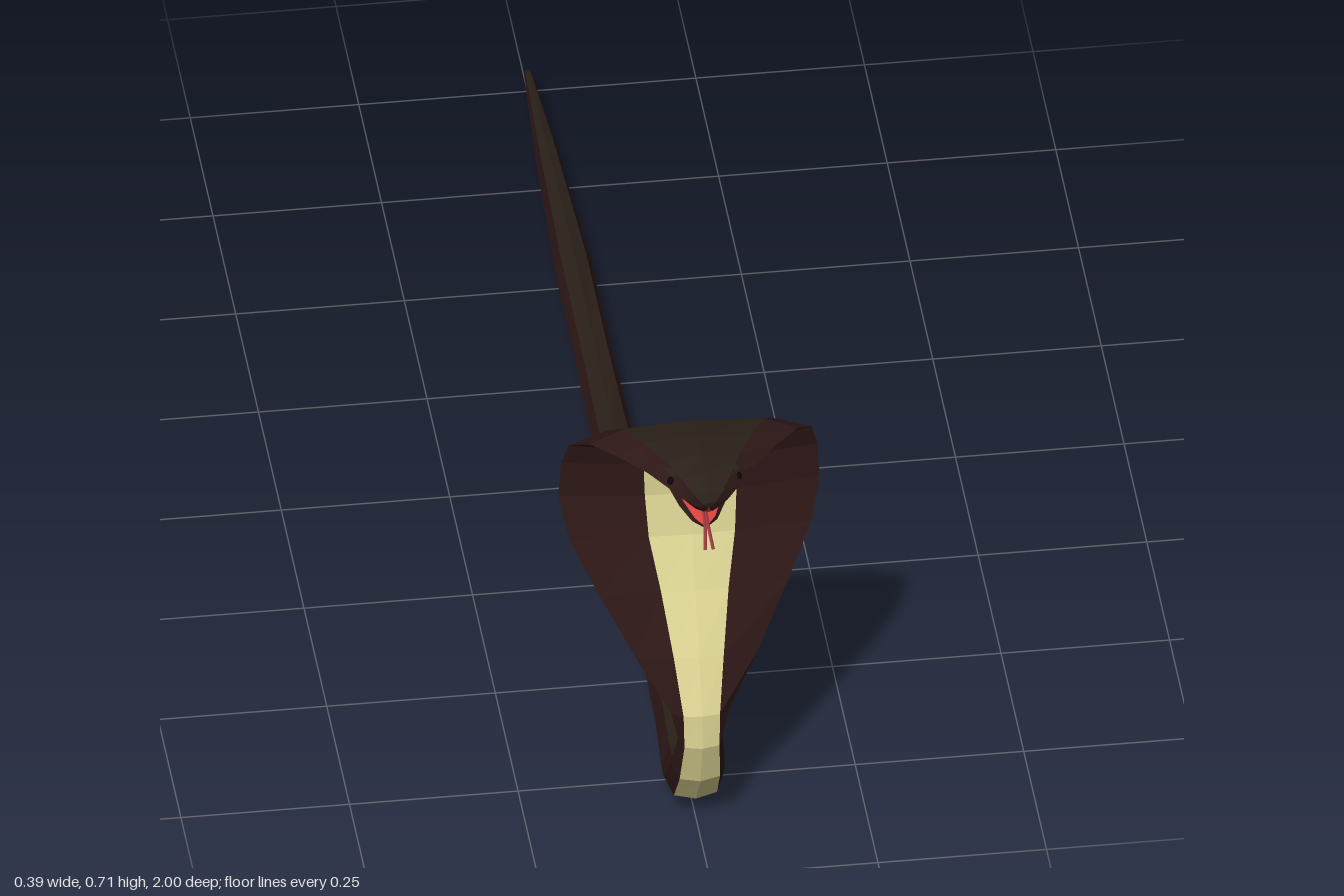
import * as THREE from 'three';

const BACK = 0x2a2019, FLANK = 0x2e1817, BELLY = 0xdcd493, MOUTH = 0xd8403a, TONGUE = 0xa03c40;

function makeMesh(geometry, color, name) {
  const material = new THREE.MeshStandardMaterial({ color, flatShading: true, side: THREE.DoubleSide });
  const mesh = new THREE.Mesh(geometry, material);
  mesh.name = name;
  return mesh;
}

// Eight-sided ring across the spine. Station: [z, y, half width, half thickness, belly half width]
function ring(stations, i, upper) {
  const [z, y, w, t, b] = stations[i];
  const p = stations[Math.max(i - 1, 0)], q = stations[Math.min(i + 1, stations.length - 1)];
  const len = Math.hypot(q[0] - p[0], q[1] - p[1]);
  const ny = (q[0] - p[0]) / len, nz = -(q[1] - p[1]) / len;
  const outline = [[0, -1], [b, -0.8], [w, 0], [w * upper, 0.75], [0, 1], [-w * upper, 0.75], [-w, 0], [-b, -0.8]];
  return outline.map(([x, d]) => [x, y + ny * d * t, z + nz * d * t]);
}

// Skin the rings from station first to last, one mesh per colour band
function loft(group, stations, first, last, upper, bands) {
  const rings = stations.map((s, i) => ring(stations, i, upper));
  for (const [name, color, strips] of bands) {
    const positions = [];
    for (let i = first; i < last; i++) {
      for (const j of strips) {
        const k = (j + 1) % 8;
        const a = rings[i][j], b = rings[i][k], c = rings[i + 1][k], d = rings[i + 1][j];
        positions.push(...a, ...b, ...c, ...a, ...c, ...d);
      }
    }
    const geometry = new THREE.BufferGeometry();
    geometry.setAttribute('position', new THREE.Float32BufferAttribute(positions, 3));
    geometry.computeVertexNormals();
    group.add(makeMesh(geometry, color, name));
  }
}

export function createModel() {
  const model = new THREE.Group();
  model.name = 'snake';

  // Spine from tail tip through raised hood to snout
  const spine = [
    [-1, 0.04, 0.003, 0.003, 0.002],
    [-0.99, 0.04, 0.006, 0.006, 0.004],
    [-0.8, 0.042, 0.017, 0.018, 0.011],
    [-0.5, 0.043, 0.028, 0.031, 0.018],
    [-0.25, 0.043, 0.029, 0.026, 0.018],
    [0, 0.04, 0.032, 0.031, 0.02],
    [0.25, 0.045, 0.03, 0.026, 0.02],
    [0.5, 0.043, 0.031, 0.033, 0.021],
    [0.66, 0.043, 0.034, 0.036, 0.025],
    [0.77, 0.043, 0.04, 0.04, 0.03],
    [0.83, 0.068, 0.045, 0.037, 0.032],
    [0.873, 0.12, 0.04, 0.032, 0.03],
    [0.9, 0.185, 0.033, 0.025, 0.026],
    [0.9, 0.23, 0.043, 0.022, 0.027],
    [0.868, 0.31, 0.09, 0.022, 0.037],
    [0.825, 0.4, 0.14, 0.022, 0.05],
    [0.79, 0.48, 0.18, 0.023, 0.064],
    [0.776, 0.55, 0.194, 0.023, 0.068],
    [0.777, 0.61, 0.19, 0.023, 0.07],
    [0.79, 0.65, 0.18, 0.024, 0.062],
    [0.825, 0.674, 0.154, 0.025, 0.06],
    [0.87, 0.68, 0.118, 0.027, 0.052],
    [0.92, 0.682, 0.08, 0.027, 0.04],
    [0.955, 0.676, 0.053, 0.026, 0.028],
    [0.98, 0.667, 0.03, 0.023, 0.017],
    [0.99, 0.662, 0.012, 0.014, 0.007],
    [0.992, 0.661, 0.001, 0.001, 0.0005],
  ];
  const neckEnd = 19, end = spine.length - 1;

  const body = new THREE.Group();
  body.name = 'bodyAndHood';
  loft(body, spine, 0, neckEnd, 0.68, [
    ['bellyScales', BELLY, [0, 7]],
    ['flanks', FLANK, [1, 2, 5, 6]],
    ['back', BACK, [3, 4]],
  ]);
  const head = new THREE.Group();
  head.name = 'head';
  loft(head, spine, neckEnd, end, 0.68, [
    ['palate', MOUTH, [0, 7]],
    ['cheeks', FLANK, [1, 2, 5, 6]],
    ['crown', BACK, [3, 4]],
  ]);

  // Open lower jaw with red lining
  const jaw = [
    [0.8, 0.65, 0.06, 0.01, 0.04],
    [0.84, 0.643, 0.058, 0.01, 0.036],
    [0.88, 0.633, 0.048, 0.01, 0.03],
    [0.92, 0.619, 0.034, 0.01, 0.02],
    [0.948, 0.61, 0.019, 0.009, 0.012],
    [0.957, 0.607, 0.007, 0.005, 0.004],
    [0.958, 0.606, 0.001, 0.001, 0.0005],
  ];
  loft(head, jaw, 0, jaw.length - 1, 0.8, [
    ['lowerJaw', FLANK, [0, 1, 2, 5, 6, 7]],
    ['mouthLining', MOUTH, [3, 4]],
  ]);

  // Forked tongue
  for (const side of [-1, 1]) {
    const path = new THREE.CatmullRomCurve3([
      new THREE.Vector3(side * 0.002, 0.64, 0.88),
      new THREE.Vector3(side * 0.002, 0.634, 0.925),
      new THREE.Vector3(side * 0.002, 0.618, 0.965),
      new THREE.Vector3(side * 0.006, 0.592, 0.998),
    ]);
    head.add(makeMesh(new THREE.TubeGeometry(path, 8, 0.0025, 4), TONGUE, 'tongueFork'));

    // Eye under a low brow
    const eye = makeMesh(new THREE.SphereGeometry(0.007, 8, 6), 0x080606, 'eye');
    eye.position.set(side * 0.049, 0.684, 0.947);
    head.add(eye);
    const brow = makeMesh(new THREE.OctahedronGeometry(1), BACK, 'brow');
    brow.scale.set(0.008, 0.006, 0.025);
    brow.position.set(side * 0.047, 0.694, 0.938);
    brow.rotation.y = -side * 0.6;
    head.add(brow);
  }

  model.add(body, head);
  return model;
}
